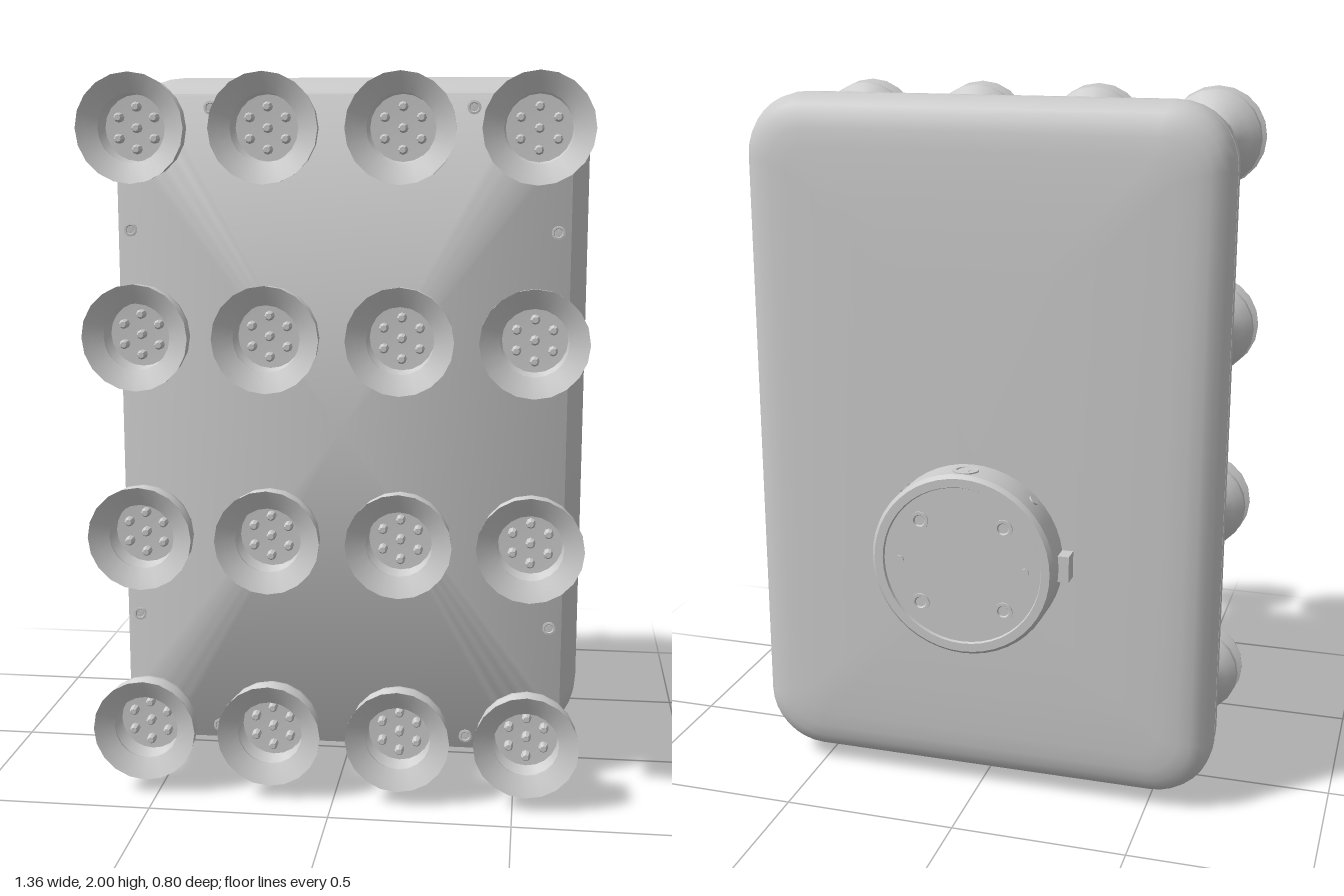
import * as THREE from 'three';
import { toCreasedNormals } from 'three/addons/utils/BufferGeometryUtils.js';

const grey = new THREE.MeshStandardMaterial({ color: 0xcccccc });
const CY = 1.02;       // height of the housing centre
const FY = 0.75;       // height of the mounting flange

function add(parent, name, geometry, x = 0, y = 0, z = 0) {
  const mesh = new THREE.Mesh(geometry, grey);
  mesh.name = name;
  mesh.position.set(x, y, z);
  parent.add(mesh);
  return mesh;
}

// Lathe whose axis points along +z (dir 1) or -z (dir -1); points are [radius, height]
function turned(points, segments, dir = 1) {
  const g = new THREE.LatheGeometry(points.map(p => new THREE.Vector2(p[0], p[1])), segments);
  g.rotateX(dir * Math.PI / 2);
  return toCreasedNormals(g, 0.6);
}

const disc = (r, depth, segments = 16) =>
  new THREE.CylinderGeometry(r, r, depth, segments).rotateX(Math.PI / 2);

// Rounded-rectangle sections lofted from front to back; sections are [z, inset]
function loftHousing(sections) {
  const steps = 8, ring = 4 * (steps + 1), pos = [], index = [];
  for (const [z, inset] of sections) {
    const hx = 0.68 - inset, hy = 0.98 - inset;
    const r = Math.max(0.17 - inset * 0.8, 0.05);
    for (let c = 0; c < 4; c++) {
      const sx = c === 0 || c === 3 ? 1 : -1, sy = c < 2 ? 1 : -1;
      for (let k = 0; k <= steps; k++) {
        const a = (c + k / steps) * Math.PI / 2;
        pos.push(sx * (hx - r) + r * Math.cos(a), sy * (hy - r) + r * Math.sin(a), z);
      }
    }
  }
  const last = sections.length - 1;
  for (let i = 0; i < last; i++) {
    for (let j = 0; j < ring; j++) {
      const k = (j + 1) % ring;
      const a = i * ring + j, b = i * ring + k, c = a + ring, d = b + ring;
      index.push(a, c, b, b, c, d);
    }
  }
  // front and back caps
  const front = pos.length / 3, back = front + 1;
  pos.push(0, 0, sections[0][0], 0, 0, sections[last][0]);
  for (let j = 0; j < ring; j++) {
    const k = (j + 1) % ring;
    index.push(front, j, k, back, last * ring + k, last * ring + j);
  }
  const g = new THREE.BufferGeometry();
  g.setAttribute('position', new THREE.Float32BufferAttribute(pos, 3));
  g.setIndex(index);
  return toCreasedNormals(g, 0.6);
}

function buildHousing(root) {
  const housing = new THREE.Group();
  housing.name = 'housing';
  root.add(housing);
  add(housing, 'shell', loftHousing([
    [0.19, 0.06], [0.186, 0.053], [0.175, 0.05], [0.11, 0.05], [0.075, 0.046], [0.04, 0.037],
    [0, 0.024], [-0.04, 0.013], [-0.08, 0.006], [-0.12, 0.002], [-0.152, 0], [-0.153, 0.004],
    [-0.157, 0.004], [-0.158, 0], [-0.19, 0.002], [-0.215, 0.011], [-0.235, 0.028],
    [-0.249, 0.055], [-0.257, 0.09], [-0.262, 0.14], [-0.268, 0.28], [-0.272, 0.45],
  ]), 0, CY, 0);

  // front plate screws
  for (const sx of [-1, 1]) {
    for (const sy of [-1, 1]) {
      for (const [x, y] of [[0.592, 0.557], [0.36, 0.89]]) {
        add(housing, 'plateScrew', turned([[0.019, -0.01], [0.019, 0.003], [0.013, 0.004],
          [0.011, 0.001], [0, 0.001]], 14), sx * x, CY + sy * y, 0.19);
      }
    }
  }
  // round cover on the back
  add(housing, 'backCover', disc(0.085, 0.01, 32), 0, 1.44, -0.267);
}

function buildFlange(root) {
  const flange = new THREE.Group();
  flange.name = 'mountingFlange';
  flange.position.set(0, FY, 0);
  root.add(flange);
  add(flange, 'flangeBody', turned([[0.235, 0.25], [0.235, 0.286], [0.258, 0.288], [0.262, 0.293],
    [0.262, 0.388], [0.252, 0.4], [0.228, 0.4], [0.225, 0.393], [0, 0.393]], 48, -1));
  // hollow bolt heads on the back face and two locating pins
  for (let i = 0; i < 4; i++) {
    const a = Math.PI / 4 + i * Math.PI / 2;
    const c = Math.cos(a), s = Math.sin(a);
    add(flange, 'flangeBolt', turned([[0.026, 0.38], [0.026, 0.398], [0.017, 0.398], [0.014, 0.393],
      [0, 0.393]], 14, -1), 0.17 * c, 0.17 * s, 0);
    // radial set screws round the rim
    const screw = add(flange, 'setScrew', new THREE.CylinderGeometry(0.015, 0.015, 0.02, 12),
      0.256 * c, 0.256 * s, -0.325);
    screw.rotation.z = a - Math.PI / 2;
  }
  for (const sx of [-1, 1]) add(flange, 'locatingPin', disc(0.012, 0.012, 12), sx * 0.18, 0, -0.392);
  // socket on top of the rim
  const socket = new THREE.LatheGeometry([[0.036, -0.02], [0.036, 0.006], [0.026, 0.006],
    [0.022, -0.004], [0.012, -0.004], [0.012, 0.004], [0, 0.004]].map(p => new THREE.Vector2(...p)), 16);
  add(flange, 'rimSocket', toCreasedNormals(socket, 0.6), 0, 0.258, -0.348);
  add(flange, 'rimTab', new THREE.BoxGeometry(0.045, 0.075, 0.05), -0.268, 0, -0.317);
}

function buildConnector(root) {
  const connector = new THREE.Group();
  connector.name = 'cableConnector';
  connector.position.set(0, 0, -0.04);
  root.add(connector);
  add(connector, 'connectorCollar', new THREE.CylinderGeometry(0.062, 0.056, 0.03, 16), 0, 0.054, 0);
  add(connector, 'connectorNut', new THREE.CylinderGeometry(0.048, 0.042, 0.03, 6).toNonIndexed(), 0, 0.03, 0);
  const sleeve = new THREE.LatheGeometry([[0, 0.014], [0.028, 0.014], [0.03, 0], [0.038, 0],
    [0.04, 0.025]].map(p => new THREE.Vector2(...p)), 20);
  add(connector, 'connectorSleeve', toCreasedNormals(sleeve, 0.6));
}

function buildCups(root) {
  // bellows with a flared lip outside and a hollow inside
  const bellows = turned([[0.05, 0.212], [0.064, 0.214], [0.068, 0.228], [0.071, 0.268],
    [0.082, 0.28], [0.112, 0.305], [0.138, 0.328], [0.14, 0.342], [0.128, 0.356], [0.102, 0.372],
    [0.11, 0.385], [0.145, 0.398], [0.145, 0.401], [0.122, 0.39], [0.091, 0.374], [0.092, 0.366],
    [0.122, 0.342], [0.118, 0.332], [0.088, 0.306], [0, 0.302]], 20);
  const neck = turned([[0.04, 0.18], [0.04, 0.19], [0.052, 0.192], [0.052, 0.2], [0.043, 0.202],
    [0.043, 0.206], [0.054, 0.208], [0.054, 0.216], [0, 0.216]], 20);
  const nub = turned([[0.013, -0.008], [0.013, 0.018], [0.008, 0.026], [0, 0.028]], 8);
  for (const y of [0.185, 0.743, 1.3, 1.855]) {
    for (const x of [-0.535, -0.18, 0.18, 0.535]) {
      const cup = new THREE.Group();
      cup.name = 'suctionCup';
      cup.position.set(x, y, 0);
      root.add(cup);
      add(cup, 'cupNeck', neck);
      add(cup, 'cupBellows', bellows);
      add(cup, 'cupNub', nub, 0, 0, 0.304);
      for (let i = 0; i < 6; i++) {
        const a = i * Math.PI / 3 + Math.PI / 6;
        add(cup, 'cupNub', nub, 0.056 * Math.cos(a), 0.056 * Math.sin(a), 0.304);
      }
    }
  }
}

export function createModel() {
  const root = new THREE.Group();
  root.name = 'vacuumGripper';
  buildHousing(root);
  buildFlange(root);
  buildConnector(root);
  buildCups(root);
  return root;
}
